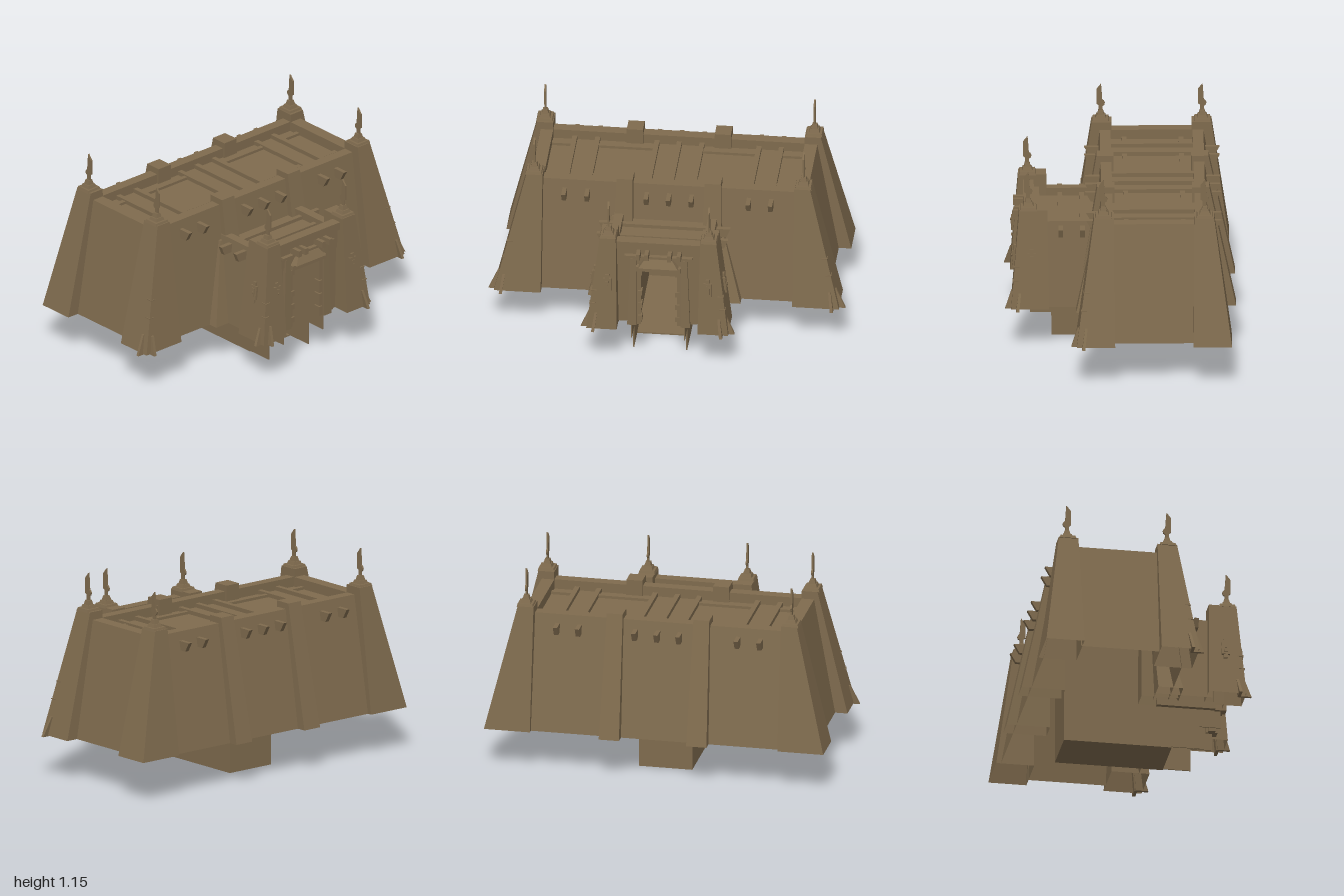
import * as THREE from 'three';

export function createModel() {
  const clay = new THREE.MeshStandardMaterial({ color: 0x7f6b4e, side: THREE.DoubleSide });
  clay.name = 'brown clay';
  const model = new THREE.Group();
  model.name = 'fortress';
  const MX = -0.01, GX = -0.023, MZ = -0.187; // main and gatehouse centre lines

  function add(name, geo, parent = model) {
    const mesh = new THREE.Mesh(geo, clay);
    mesh.name = name;
    parent.add(mesh);
    return mesh;
  }

  // Tapered block between two rectangles [x0, x1, z0, z1];
  // keep lists the sides built: 0 +x, 1 -x, 2 top, 3 bottom, 4 +z, 5 -z
  const ALL = [0, 1, 2, 3, 4, 5], OPEN = [0, 1, 2, 4, 5];
  function loft(name, y0, y1, b, t = b, keep = ALL, parent = model) {
    const geo = new THREE.BoxGeometry(1, 1, 1);
    const p = geo.attributes.position;
    for (let i = 0; i < p.count; i++) {
      const top = p.getY(i) > 0, r = top ? t : b;
      p.setXYZ(i, p.getX(i) < 0 ? r[0] : r[1], top ? y1 : y0, p.getZ(i) < 0 ? r[2] : r[3]);
    }
    const index = Array.from(geo.index.array);
    geo.setIndex(keep.flatMap((f) => index.slice(f * 6, f * 6 + 6)));
    geo.clearGroups();
    geo.computeVertexNormals();
    return add(name, geo, parent);
  }

  // Place a rectangle relative to a centre, mirrored by the signs sx and sz
  function place([a, b, c, d], cx, sx, cz = 0, sz = 1) {
    const x = sx > 0 ? [cx + a, cx + b] : [cx - b, cx - a];
    const z = sz > 0 ? [cz + c, cz + d] : [cz - d, cz - c];
    return [...x, ...z];
  }
  function pair(name, cx, y0, y1, b, t = b, keep = ALL) {
    for (const s of [1, -1]) loft(name, y0, y1, place(b, cx, s), place(t, cx, s), keep);
  }
  // Sloping side sheet with its top, left and right
  function sidePair(name, cx, y0, y1, b, t) {
    for (const s of [1, -1]) loft(name, y0, y1, place(b, cx, s), place(t, cx, s), [s > 0 ? 0 : 1, 2]);
  }
  const sq = (r) => [-r, r, -r, r];

  // Stepped cap with a thin blade, standing on each tower
  const blade = new THREE.Shape([
    [-0.012, 0.04], [0.009, 0.04], [0.009, 0.078], [0.02, 0.085], [0.023, 0.098],
    [0.017, 0.11], [0.009, 0.115], [0.006, 0.16], [0.002, 0.21], [-0.023, 0.178],
    [-0.023, 0.092], [-0.012, 0.085],
  ].map(([x, y]) => new THREE.Vector2(x, y)));
  function finial(x, y, z) {
    const g = new THREE.Group();
    g.name = 'finial';
    g.position.set(x, y, z);
    loft('capSlab', -0.005, 0.012, sq(0.047), sq(0.042), ALL, g);
    loft('capStep', 0.012, 0.03, sq(0.03), sq(0.024), ALL, g);
    loft('capNeck', 0.03, 0.055, sq(0.019), sq(0.013), ALL, g);
    const geo = new THREE.ExtrudeGeometry(blade, { depth: 0.01, bevelEnabled: false });
    geo.translate(0, 0, -0.005).rotateY(Math.PI / 2);
    add('blade', geo, g);
    model.add(g);
  }

  // A claw on each outer face at the foot of a front tower, and chips up its edge
  function claws(cx, s, xo, zo, y, lean, height) {
    loft('sideClaw', y - 0.005, y + 0.105,
      place([xo - 0.04, xo + 0.033, zo - 0.047, zo - 0.03], cx, s),
      place([xo - 0.06, xo - 0.018, zo - 0.06, zo - 0.046], cx, s));
    loft('frontClaw', y - 0.005, y + 0.1,
      place([xo - 0.047, xo - 0.03, zo - 0.04, zo + 0.03], cx, s),
      place([xo - 0.06, xo - 0.046, zo - 0.05, zo - 0.005], cx, s));
    for (const f of [0.28, 0.42]) {
      const x = xo - lean[0] * f, z = zo - lean[1] * f, yy = y + height * f;
      loft('edgeChip', yy, yy + 0.005, place([x - 0.03, x + 0.003, z - 0.03, z + 0.003], cx, s));
    }
  }

  // ---- Main hall: four towers, sloping walls, buttresses ----
  for (const sx of [1, -1]) {
    for (const sz of [1, -1]) {
      loft('cornerTower', 0.24, 0.945, place([0.70, 0.96, 0.217, 0.43], MX, sx, MZ, sz),
        place([0.70, 0.79, 0.222, 0.332], MX, sx, MZ, sz), OPEN);
      loft('buttress', 0.24, 0.935, place([0.19, 0.305, 0.215, sz > 0 ? 0.422 : 0.458], MX, sx, MZ, sz),
        place([0.20, 0.29, 0.215, 0.31], MX, sx, MZ, sz), OPEN);
      finial(MX + sx * 0.75, 0.945, MZ + sz * 0.281);
    }
    claws(MX, sx, 0.96, 0.243, 0.24, [0.17, 0.098], 0.705);
  }
  sidePair('sideWall', MX, 0.24, 0.9, [0.70, 0.89, -0.41, 0.035], [0.70, 0.77, -0.41, 0.035]);
  pair('sideParapetInside', MX, 0.84, 0.9, [0.70, 0.703, -0.41, 0.035]);
  loft('backWall', 0.24, 0.9, [-0.72, 0.70, -0.59, -0.414], [-0.72, 0.70, -0.474, -0.414], [2, 5]);
  for (const [x0, x1] of [[-0.72, -0.18], [0.115, 0.70]])
    loft('frontWall', 0.24, 0.62, [x0, x1, 0.04, 0.185], [x0, x1, 0.04, 0.136], [4]);
  loft('frontUpperWall', 0.62, 0.9, [-0.72, 0.70, 0.04, 0.136], [-0.72, 0.70, 0.04, 0.1], [2, 4]);
  for (const z of [-0.417, 0.04]) loft('parapetInside', 0.84, 0.9, [-0.72, 0.70, z, z + 0.003]);

  // Roof deck, beams and the beam ends poking through the walls
  loft('roofDeck', 0.835, 0.845, [-0.72, 0.70, -0.415, 0.042]);
  const beams = [-0.59, -0.462, -0.132, -0.008, 0.118, 0.436, 0.56];
  for (const x of beams) {
    loft('roofBeam', 0.84, 0.868, [x - 0.014, x + 0.014, -0.415, 0.042]);
    for (const s of [1, -1])
      loft('beamEnd', 0.797, 0.85, place([x - 0.012, x + 0.012, 0.27, 0.345], 0, 1, MZ, s),
        place([x - 0.012, x + 0.012, 0.27, 0.375], 0, 1, MZ, s));
  }
  for (const [x0, x1] of [[-0.71, -0.59], [-0.462, -0.132], [0.118, 0.436], [0.56, 0.69]])
    for (const z of [-0.35, -0.035]) loft('crossBeam', 0.84, 0.86, [x0, x1, z - 0.013, z + 0.013]);

  // ---- Sunken passage under the hall ----
  for (const x of [-0.18, 0.115]) {
    loft('passageWall', 0.005, 0.62, [x, x + 0.006, -0.385, 0.375]);
    loft('passageStepWall', 0.14, 0.6, [x, x + 0.006, 0.375, 0.495]);
  }
  loft('passageBack', 0.005, 0.62, [-0.18, 0.121, -0.385, -0.379]);
  loft('passageFloor', 0, 0.008, [-0.18, 0.121, -0.385, 0.22]);
  loft('passageCeiling', 0.614, 0.62, [-0.18, 0.121, -0.385, 0.46]);

  // ---- Gatehouse: towers, side walls, roof ----
  pair('gateTower', GX, 0.25, 0.81, [0.225, 0.395, 0.39, 0.6], [0.235, 0.325, 0.4, 0.555], OPEN);
  sidePair('gateSideWall', GX, 0.24, 0.73, [0.235, 0.335, 0.1, 0.42], [0.235, 0.285, 0.1, 0.42]);
  pair('gateSideParapetInside', GX, 0.68, 0.73, [0.235, 0.238, 0.1, 0.42]);
  pair('gateRearPilaster', GX, 0.24, 0.7, [0.25, 0.425, 0.1, 0.24], [0.25, 0.305, 0.08, 0.14], OPEN);
  pair('footRail', GX, 0.21, 0.25, [0.23, 0.255, 0.12, 0.45]);
  for (const s of [1, -1]) {
    finial(GX + s * 0.28, 0.81, 0.505);
    claws(GX, s, 0.395, 0.603, 0.25, [0.07, 0.045], 0.56);
  }
  loft('gateRoof', 0.675, 0.685, [GX - 0.24, GX + 0.24, 0.08, 0.48]);
  for (const z of [0.205, 0.325]) {
    loft('gateRoofBeam', 0.68, 0.705, [GX - 0.24, GX + 0.24, z - 0.013, z + 0.013]);
    pair('gateSideBeamEnd', GX, 0.655, 0.705, [0.27, 0.345, z - 0.013, z + 0.013], [0.27, 0.365, z - 0.013, z + 0.013]);
  }

  // Gate front wall around the doorway
  pair('gateFrontWall', GX, 0.25, 0.66, [0.14, 0.24, 0.44, 0.5], [0.14, 0.24, 0.44, 0.5], OPEN);
  loft('gateUpperWall', 0.62, 0.74, [GX - 0.24, GX + 0.24, 0.44, 0.51]);
  loft('gateParapet', 0.735, 0.78, [GX - 0.24, GX + 0.24, 0.47, 0.53]);
  loft('gateLedge', 0.68, 0.694, [GX - 0.19, GX + 0.19, 0.5, 0.535]);
  for (const x of [-0.132, -0.085, 0.042, 0.095])
    loft('gateBeamEnd', 0.698, 0.735, [x - 0.011, x + 0.011, 0.5, 0.585]);
  pair('doorPilaster', GX, 0.24, 0.67, [0.122, 0.175, 0.46, 0.525], [0.122, 0.158, 0.46, 0.52]);
  loft('doorLintel', 0.6, 0.628, [GX - 0.125, GX + 0.125, 0.47, 0.54]);
  loft('doorHood', 0.628, 0.675, [GX - 0.11, GX + 0.11, 0.49, 0.555], [GX - 0.075, GX + 0.075, 0.49, 0.53]);

  // Notched door posts
  pair('doorPost', GX, 0.24, 0.6, [0.1, 0.123, 0.47, 0.51]);
  for (const y of [0.27, 0.35, 0.43, 0.56]) pair('postKnob', GX, y, y + 0.03, [0.092, 0.115, 0.475, 0.518]);

  // Stepped plaques on the front and outer faces of the gate towers
  function plaque(x, y, z, turn, tilt) {
    const g = new THREE.Group();
    g.name = 'towerPlaque';
    g.position.set(x, y, z);
    g.rotation.set(tilt, turn, 0, 'YXZ');
    for (const [w, h, d] of [[0.022, 0.125, 0.018], [0.046, 0.08, 0.022], [0.02, 0.05, 0.032]])
      add('plaqueStep', new THREE.BoxGeometry(w, h, d), g);
    add('plaqueBoss', new THREE.CylinderGeometry(0.007, 0.007, 0.042, 6).rotateX(Math.PI / 2), g);
    model.add(g);
  }
  for (const s of [1, -1]) {
    plaque(GX + s * 0.28, 0.53, 0.58, 0, -0.08);
    plaque(GX + s * 0.362, 0.53, 0.487, s * Math.PI / 2, -0.125);
  }
  return model;
}
